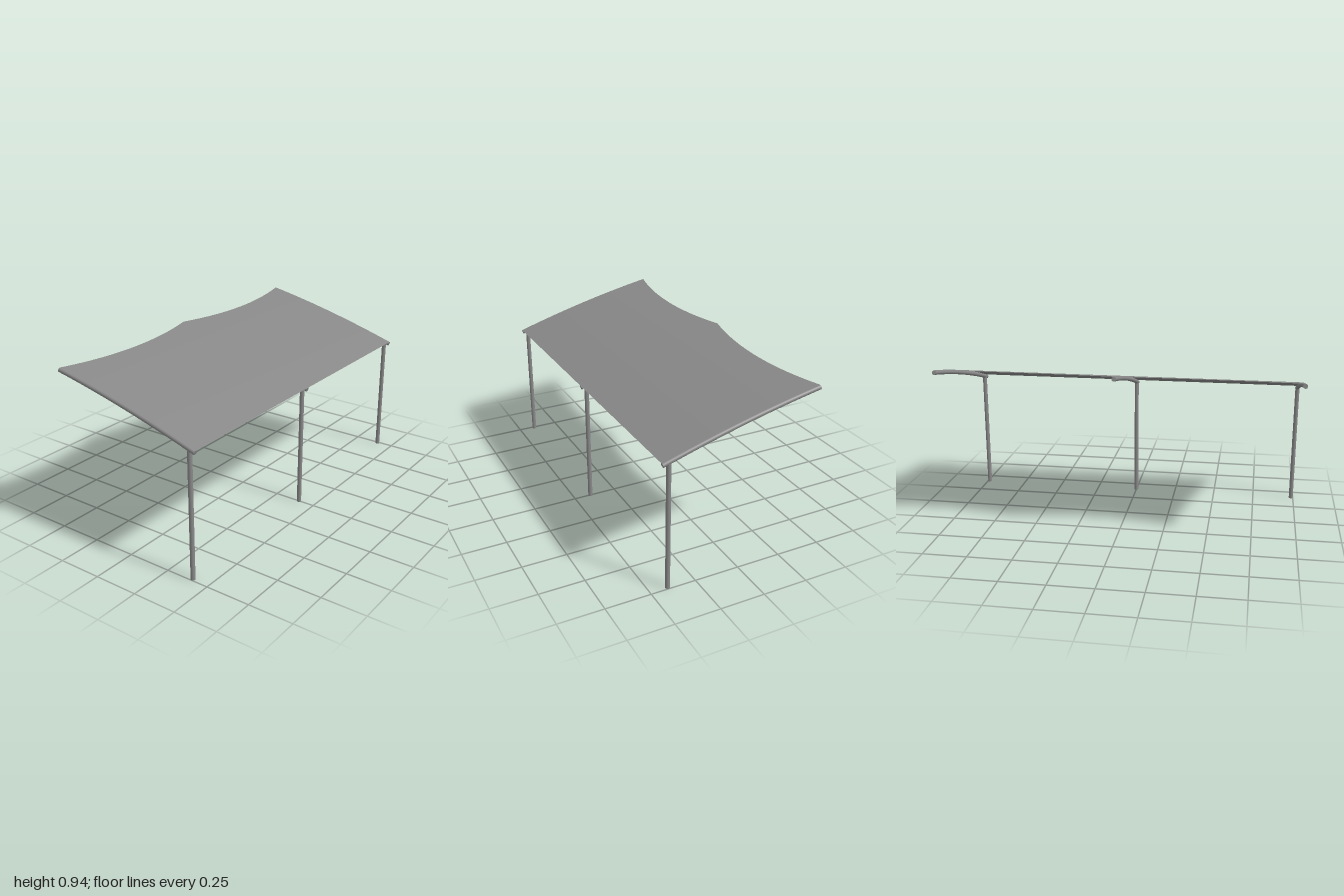
import * as THREE from 'three';

const R = 0.0125;                  // pipe radius
const FRONT = 0.4365, BACK = -0.4375;
const SIDE = 1 - R;                // x of the outer frames
const SCALLOP = 0.058;             // depth of the curved rear hem

// Height and slope of the bowed rafter centreline at depth z
const railY = z => 0.832 - 0.2556 * z - 0.0737 * z * z;
const slope = z => -0.2556 - 0.1474 * z;

class RafterCurve extends THREE.Curve {
  getPoint(t, target = new THREE.Vector3()) {
    const z = FRONT + (BACK - FRONT) * t;
    return target.set(0, railY(z), z);
  }
}

export function createModel() {
  const group = new THREE.Group();
  const material = new THREE.MeshStandardMaterial({ color: 0x888888 });
  const fabric = new THREE.MeshStandardMaterial({ color: 0x888888, side: THREE.DoubleSide });

  // Three frames, each a post carrying a bowed rafter with closed ends
  const curve = new RafterCurve();
  const rafterGeo = new THREE.TubeGeometry(curve, 32, R, 20);
  const capGeo = new THREE.CircleGeometry(R, 20);
  const postHeight = 0.712;
  const postGeo = new THREE.CylinderGeometry(R, R, postHeight, 24);
  for (const x of [-SIDE, 0, SIDE]) {
    const frame = new THREE.Group();
    frame.name = 'frame';
    frame.position.x = x;

    const post = new THREE.Mesh(postGeo, material);
    post.name = 'post';
    post.position.set(0, postHeight / 2, 0.403);
    frame.add(post);

    const rafter = new THREE.Mesh(rafterGeo, material);
    rafter.name = 'rafter';
    frame.add(rafter);

    for (const t of [0, 1]) {
      const cap = new THREE.Mesh(capGeo, material);
      cap.name = 'rafterEndCap';
      const outward = curve.getTangent(t).multiplyScalar(t ? 1 : -1);
      cap.position.copy(curve.getPoint(t));
      cap.quaternion.setFromUnitVectors(new THREE.Vector3(0, 0, 1), outward);
      frame.add(cap);
    }
    group.add(frame);
  }

  // Canopy sheet lying on the rafters, rear hem scalloped between frames
  const sheetGeo = new THREE.PlaneGeometry(2 * SIDE, 1, 64, 24);
  const pos = sheetGeo.attributes.position;
  for (let i = 0; i < pos.count; i++) {
    const x = pos.getX(i), t = pos.getY(i) + 0.5;
    const u = Math.abs(x) / SIDE * 2 - 1;
    const rear = BACK + SCALLOP * (1 - u * u);
    const z = FRONT + (rear - FRONT) * t;
    const s = slope(z), lift = (R + 0.0005) / Math.hypot(1, s);
    pos.setXYZ(i, x, railY(z) + lift, z - s * lift);
  }
  sheetGeo.computeVertexNormals();
  const canopy = new THREE.Mesh(sheetGeo, fabric);
  canopy.name = 'canopy';
  group.add(canopy);

  return group;
}
